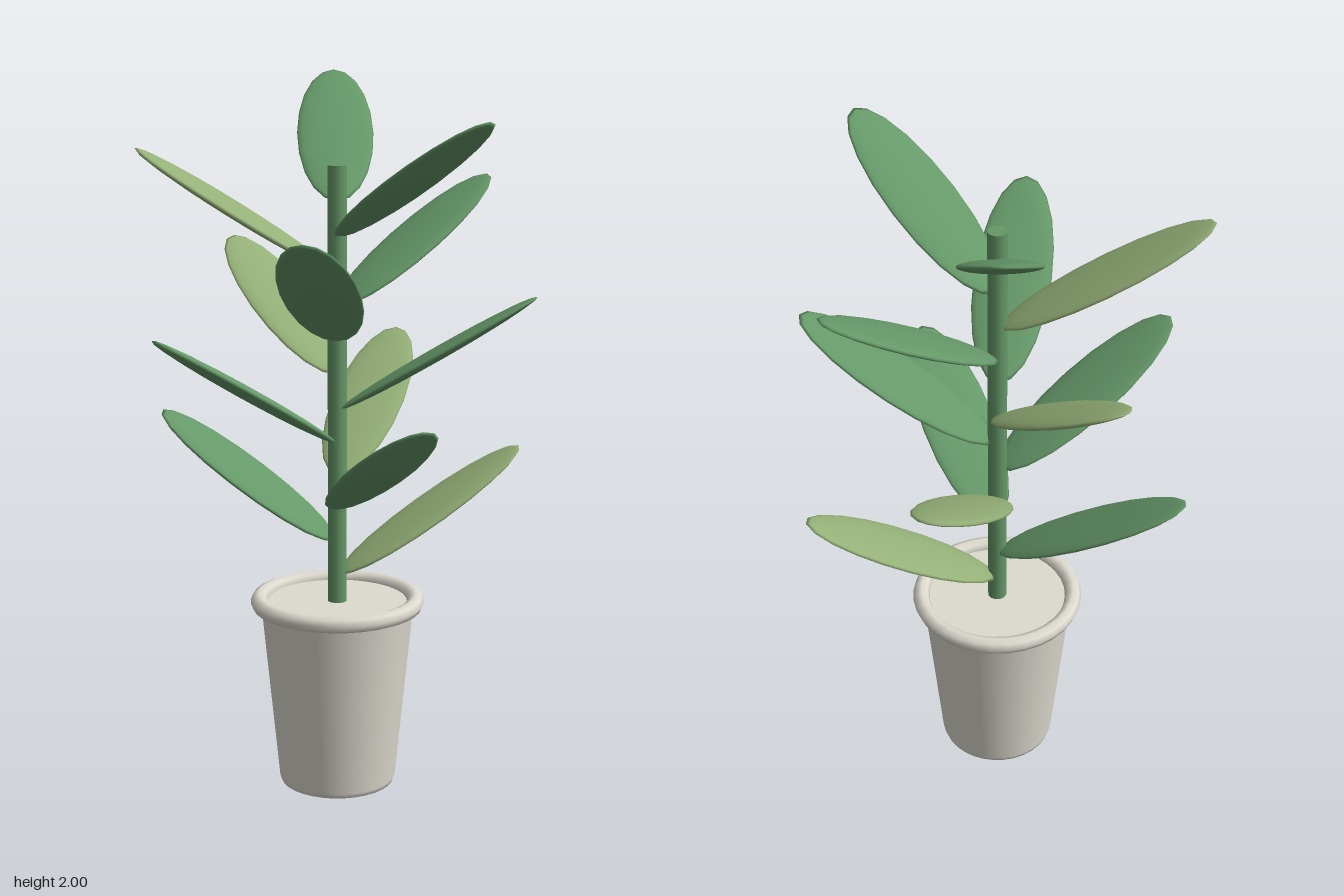
import * as THREE from 'three';

const material = (name, color) => {
  const m = new THREE.MeshStandardMaterial({ color });
  m.name = name;
  return m;
};

export function createModel() {
  const deepGreen = material('deep green', 0x659868);
  const paleGreen = material('pale green', 0x94b077);
  const ceramic = material('pale ceramic', 0xdedad0);

  const model = new THREE.Group();
  model.name = 'pottedPlant';
  const add = (name, geometry, mat, parent = model) => {
    const mesh = new THREE.Mesh(geometry, mat);
    mesh.name = name;
    parent.add(mesh);
    return mesh;
  };

  // Everything grows around one axis, set slightly off so the leaves are centred
  const plant = new THREE.Group();
  plant.name = 'plant';
  plant.position.set(-0.006, 0, -0.007);
  model.add(plant);

  // Tapered pot with a softened foot
  const profile = [[0, 0], [0.152, 0], [0.161, 0.004], [0.166, 0.018], [0.217, 0.538]]
    .map(([r, y]) => new THREE.Vector2(r, y));
  add('pot', new THREE.LatheGeometry(profile, 32), ceramic, plant);
  add('potRim', new THREE.TorusGeometry(0.222, 0.024, 8, 32).rotateX(Math.PI / 2), ceramic, plant)
    .position.y = 0.538;
  add('potTop', new THREE.CircleGeometry(0.217, 32).rotateX(-Math.PI / 2), ceramic, plant)
    .position.y = 0.538;

  // Straight stem
  const stemBottom = 0.53, stemTop = 1.765;
  add('stem', new THREE.CylinderGeometry(0.027, 0.027, stemTop - stemBottom, 12), deepGreen, plant)
    .position.y = (stemBottom + stemTop) / 2;

  // Flattened oval leaves climbing in a golden-angle spiral; every third is pale
  const leafShape = new THREE.SphereGeometry(1, 20, 12)
    .scale(0.318, 0.018, 0.108)
    .rotateZ(0.55)
    .translate(0.28, 0, 0);
  for (let i = 0; i < 12; i++) {
    const leaf = add(`leaf${i + 1}`, leafShape, i % 3 ? deepGreen : paleGreen, plant);
    leaf.position.y = 0.783 + i * 0.0955;
    leaf.rotation.y = THREE.MathUtils.degToRad(i * 137.5);
  }
  return model;
}
